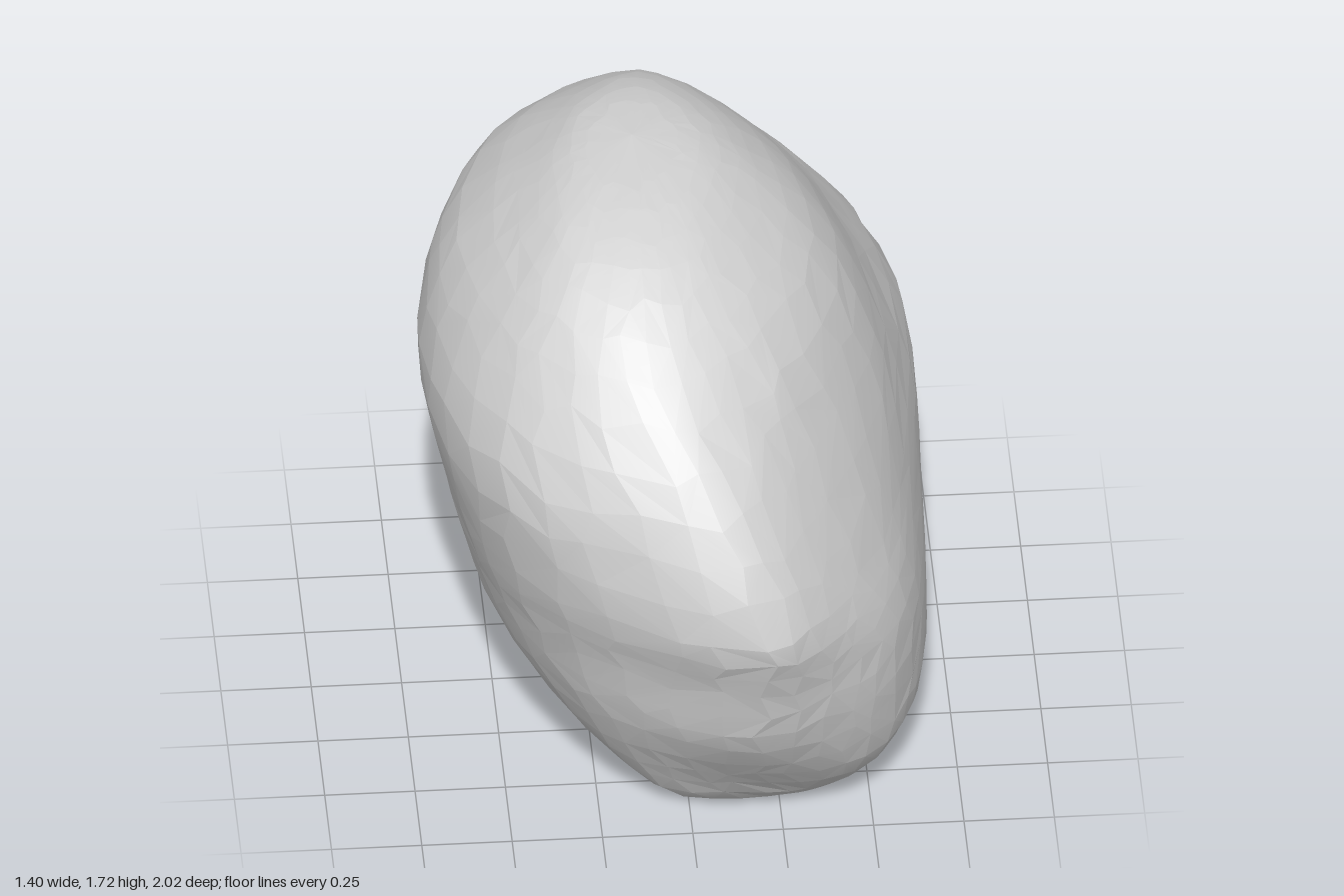
import * as THREE from 'three';

// Outline at each height: y, then x,z pairs in the order
// front, front-right, right, back-right, back, back-left, left, front-left
const LEVELS = [
  [0.02, 0.3, 0.61, 0.4, 0.56, 0.45, 0.48, 0.41, 0.39, 0.25, 0.35, 0.06, 0.38, -0.03, 0.47, -0.02, 0.6],
  [0.17, 0.2, 0.74, 0.5, 0.67, 0.65, 0.34, 0.62, 0.02, 0.2, -0.14, -0.16, -0.07, -0.29, 0.35, -0.17, 0.63],
  [0.4, 0.17, 0.89, 0.54, 0.7, 0.69, 0.15, 0.62, -0.43, 0.25, -0.65, -0.34, -0.49, -0.52, 0.12, -0.28, 0.67],
  [0.62, 0.2, 0.95, 0.54, 0.69, 0.67, 0.1, 0.66, -0.63, 0.4, -0.86, -0.39, -0.62, -0.6, 0.02, -0.38, 0.65],
  [0.81, 0.19, 1.01, 0.45, 0.73, 0.635, 0.1, 0.65, -0.77, 0.49, -1.0, -0.42, -0.71, -0.645, 0, -0.43, 0.67],
  [1.13, 0.09, 0.88, 0.33, 0.62, 0.56, 0, 0.47, -0.65, 0.32, -0.92, -0.5, -0.69, -0.7, 0, -0.47, 0.65],
  [1.42, -0.09, 0.645, 0.22, 0.47, 0.42, -0.05, 0.3, -0.55, 0, -0.83, -0.43, -0.65, -0.6, -0.1, -0.43, 0.46],
  [1.61, -0.1, 0.39, 0.08, 0.29, 0.22, -0.1, 0.15, -0.43, -0.05, -0.62, -0.27, -0.5, -0.4, -0.1, -0.33, 0.29],
];
const BOTTOM = new THREE.Vector3(0.25, 0, 0.5);
const TOP = new THREE.Vector3(-0.1, 1.72, -0.18);

function seeded(seed) {
  return () => (seed = (seed * 16807) % 2147483647) / 2147483647;
}

// Smooth skin through the outlines, sampled on a jittered grid for irregular facets
function stoneGeometry(columns, rows) {
  const rand = seeded(77);
  const outlines = LEVELS.map(([y, ...xz]) => {
    const points = [];
    for (let i = 0; i < xz.length; i += 2) points.push(new THREE.Vector3(xz[i], y, xz[i + 1]));
    return points;
  });
  // Nearly flat crown just below the top
  const crown = outlines.at(-1).map((p) => p.clone().lerp(TOP, 0.45).setY(1.695));
  const rings = [...outlines, crown].map((points) => new THREE.CatmullRomCurve3(points, true));
  const skin = (u, v) => {
    const column = rings.map((ring) => ring.getPoint((u + 1) % 1));
    return new THREE.CatmullRomCurve3([BOTTOM, ...column, TOP]).getPoint(v);
  };

  const positions = [];
  for (let j = 0; j <= rows; j++) {
    const pole = j === 0 || j === rows;
    for (let i = 0; i < columns; i++) {
      const du = (rand() - 0.5) * 0.5;
      const dv = pole ? 0 : (rand() - 0.5) * 0.45;
      positions.push(...skin((i + du) / columns, (j + dv) / rows).toArray());
    }
  }

  const index = [];
  for (let j = 0; j < rows; j++) {
    for (let i = 0; i < columns; i++) {
      const next = (i + 1) % columns;
      const a = j * columns + i, b = j * columns + next;
      const c = b + columns, d = a + columns;
      if (j === 0) index.push(a, c, d);
      else if (j === rows - 1) index.push(a, b, d);
      else if (rand() < 0.5) index.push(a, b, c, a, c, d);
      else index.push(a, b, d, b, c, d);
    }
  }

  const geometry = new THREE.BufferGeometry();
  geometry.setAttribute('position', new THREE.Float32BufferAttribute(positions, 3));
  geometry.setIndex(index);
  geometry.computeVertexNormals();
  return geometry;
}

// Blend facet and smooth normals so the facets read softly
function softenFacets(geometry, amount) {
  const loose = geometry.toNonIndexed();
  const smooth = loose.getAttribute('normal').clone();
  loose.computeVertexNormals();
  const normal = loose.getAttribute('normal');
  const a = new THREE.Vector3(), b = new THREE.Vector3();
  for (let i = 0; i < normal.count; i++) {
    a.fromBufferAttribute(normal, i);
    b.fromBufferAttribute(smooth, i);
    a.lerp(b, amount).normalize();
    normal.setXYZ(i, a.x, a.y, a.z);
  }
  return loose;
}

export function createModel() {
  const model = new THREE.Group();
  model.name = 'boulder';
  const stone = new THREE.MeshStandardMaterial({ color: 0xd2d2d2 });
  stone.name = 'pale stone grey';
  const rock = new THREE.Mesh(softenFacets(stoneGeometry(36, 28), 0.4), stone);
  rock.name = 'rock';
  model.add(rock);
  return model;
}
